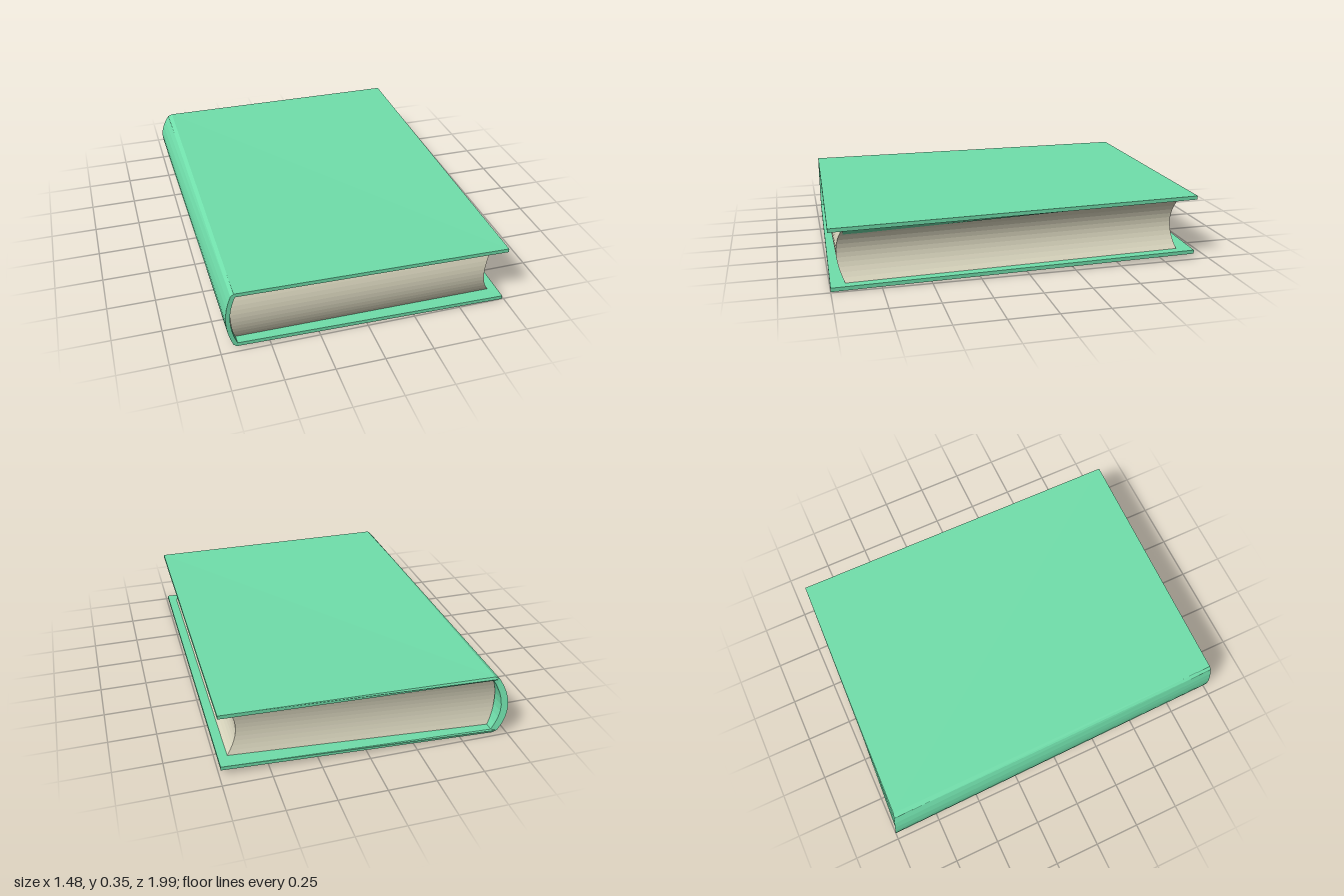
import * as THREE from 'three';

const GREEN = new THREE.MeshStandardMaterial({ color: 0x70dfab, flatShading: true, side: THREE.DoubleSide });
const PAPER = new THREE.MeshStandardMaterial({ color: 0xdcd8c0, flatShading: true });

const MID = 0.171; // middle height of the book
const bow = (y, half) => 1 - ((y - MID) / half) ** 2; // 1 at mid height, 0 at the boards

// Slight hand-made skew: back right corner lifted, spine swelling to the back
function skew(x, y, z) {
  const v = (1 - z) / 2;
  const u = (x + 0.7) / 1.44;
  const y2 = y + u * (0.018 * v - 0.01 * (1 - v));
  const x2 = x < -0.66 ? -0.66 + (x + 0.66) * (1 + 0.5 * v) : x;
  return [x2, y2];
}

// Move every vertex of a geometry by a rule
function deform(geometry, rule) {
  const p = geometry.attributes.position;
  for (let i = 0; i < p.count; i++) p.setXYZ(i, ...rule(p.getX(i), p.getY(i), p.getZ(i)));
  geometry.computeVertexNormals();
  return geometry;
}

function extrude(points, z0, z1) {
  const shape = new THREE.Shape(points.map(([x, y]) => new THREE.Vector2(x, y)));
  const g = new THREE.ExtrudeGeometry(shape, { depth: z1 - z0, bevelEnabled: false });
  return g.translate(0, 0, z0);
}

// Bowed line of points from the bottom board to the top board
function arc(xEnd, xMid, half, n) {
  return Array.from({ length: n + 1 }, (_, i) => {
    const y = MID - half + (2 * half * i) / n;
    return [xEnd + (xMid - xEnd) * bow(y, half), y];
  });
}

function part(name, geometry, material) {
  const mesh = new THREE.Mesh(geometry, material);
  mesh.name = name;
  return mesh;
}

export function createModel() {
  const book = new THREE.Group();
  book.name = 'book';

  // Cover: two boards joined by a rounded spine, as one C-shaped section
  const section = [
    [0.74, 0.01], [-0.667, 0.01],
    ...arc(-0.683, -0.714, 0.148, 8),
    [-0.667, 0.332], [0.74, 0.332], [0.74, 0.312],
    ...arc(-0.662, -0.692, 0.141, 8).reverse(),
    [0.74, 0.03],
  ];
  const cover = deform(extrude(section, -1, 1), (x, y, z) => {
    const t = (0.74 - x) / 1.43;
    const swell = Math.max(0, -0.67 - x) * 0.45;
    const back = -0.918 - t * (0.035 + 0.033 * (1 - y / 0.33)) - swell;
    const front = 0.986 + 0.014 * (x / 0.74);
    return [...skew(x, y, z), z > 0 ? front : back];
  });
  book.add(part('cover', cover, GREEN));

  // Page block: rounded at the spine, hollow along the fore edge
  const pages = deform(new THREE.BoxGeometry(1, 0.282, 2, 1, 12, 1).translate(0, MID, 0), (x, y, z) => {
    const s = bow(y, 0.141);
    const px = x > 0 ? 0.692 - 0.052 * s : -0.664 - 0.024 * s;
    const front = 0.925 + 0.035 * s;
    const back = -0.888 + 0.05 * (px / 0.68) + 0.025 * s;
    return [...skew(px, y, z), z > 0 ? front : back];
  });
  book.add(part('pages', pages, PAPER));

  // Lining strip where the fore edge meets the top board, narrowing to the back
  const strip = extrude([[0.64, 0.312], [0.665, 0.27], [0.708, 0.312]], -0.84, 0.925);
  const lining = deform(strip, (x, y, z) => {
    const y2 = z > 0 ? y : 0.312 - (0.312 - y) * 0.25;
    return [...skew(x, y2, z), z];
  });
  book.add(part('topLining', lining, GREEN));

  return book;
}
